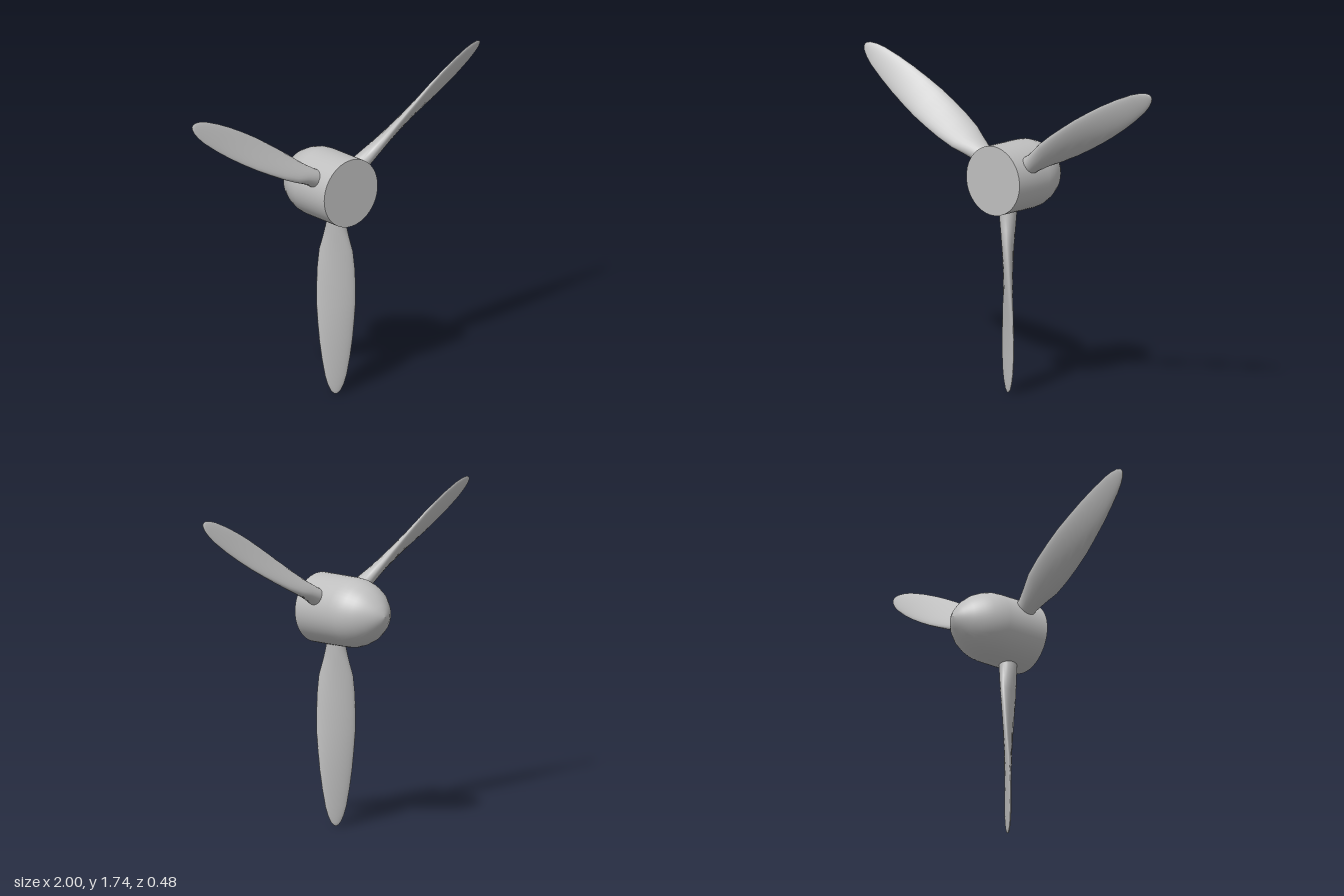
import * as THREE from 'three';

const HUB_Y = 1.155;
const BLADE_Z = 0.12;

// Blade stations from root to tip: radius, half chord, half thickness, pitch in degrees
const STATIONS = [
  [0.12, 0.052, 0.050, 60], [0.20, 0.054, 0.046, 60], [0.27, 0.070, 0.040, 57],
  [0.35, 0.091, 0.034, 53], [0.45, 0.100, 0.029, 48], [0.55, 0.103, 0.025, 44],
  [0.65, 0.103, 0.022, 40], [0.75, 0.097, 0.020, 35], [0.85, 0.089, 0.017, 31],
  [0.95, 0.077, 0.015, 27], [1.05, 0.060, 0.012, 24], [1.10, 0.045, 0.010, 23],
  [1.135, 0.028, 0.008, 22], [1.15, 0.013, 0.005, 22], [1.155, 0.001, 0.001, 22],
];

// Twisted blade pointing down, lofted through elliptical sections
function bladeGeometry(sides = 24) {
  const positions = [];
  const indices = [];
  STATIONS.forEach(([r, chord, thick, pitch], row) => {
    const a = THREE.MathUtils.degToRad(pitch);
    for (let j = 0; j < sides; j++) {
      const t = (j / sides) * Math.PI * 2;
      const u = chord * Math.cos(t);
      const v = thick * Math.sin(t);
      positions.push(u * Math.cos(a) - v * Math.sin(a), -r, u * Math.sin(a) + v * Math.cos(a));
      if (row === 0) continue;
      const k = (j + 1) % sides;
      const p = (row - 1) * sides;
      const q = row * sides;
      indices.push(p + j, p + k, q + j, p + k, q + k, q + j);
    }
  });
  const g = new THREE.BufferGeometry();
  g.setAttribute('position', new THREE.Float32BufferAttribute(positions, 3));
  g.setIndex(indices);
  g.computeVertexNormals();
  return g;
}

export function createModel() {
  const model = new THREE.Group();
  model.name = 'propeller';
  const metal = new THREE.MeshStandardMaterial({ color: 0xbfbfbf });
  metal.name = 'grey metal';

  const add = (name, geometry) => {
    const mesh = new THREE.Mesh(geometry, metal);
    mesh.name = name;
    model.add(mesh);
    return mesh;
  };

  // Hub: straight barrel running into a rounded nose that points backwards
  const profile = [
    [0.186, -0.24], [0.186, -0.12], [0.186, 0], [0.182, 0.045], [0.168, 0.09], [0.145, 0.135],
    [0.107, 0.18], [0.062, 0.215], [0.028, 0.234], [0, 0.24],
  ].map(([r, y]) => new THREE.Vector2(r, y));
  const spinner = add('spinner', new THREE.LatheGeometry(profile, 48));
  spinner.rotation.x = -Math.PI / 2;
  spinner.position.y = HUB_Y;

  // Flat front plate closing the hub
  add('hubFace', new THREE.CircleGeometry(0.186, 48)).position.set(0, HUB_Y, 0.24);

  // Three blades around the hub
  const blade = bladeGeometry();
  ['lowerBlade', 'upperLeftBlade', 'upperRightBlade'].forEach((name, i) => {
    const mesh = add(name, blade);
    mesh.position.set(0, HUB_Y, BLADE_Z);
    mesh.rotation.z = (i * Math.PI * 2) / 3;
  });

  return model;
}
